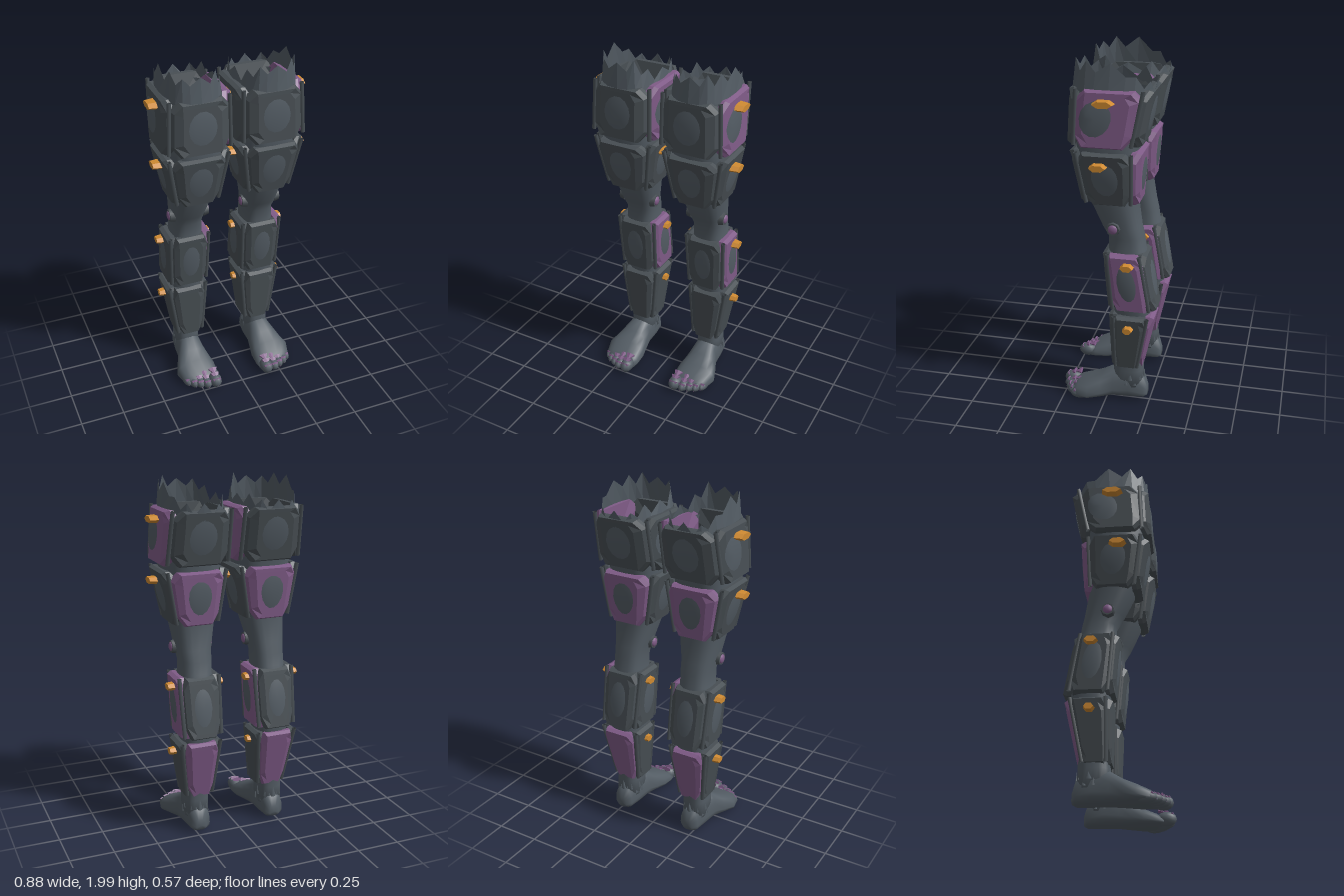
import * as THREE from 'three';

const mat = (name, color) => new THREE.MeshStandardMaterial({ name, color, side: THREE.DoubleSide });
const V = (x, y, z) => new THREE.Vector3(x, y, z);
const { lerp, clamp } = THREE.MathUtils;

// skin a list of equal-length rings; each ring runs counterclockwise seen from the last one
function loft(rings, { capStart = true, capEnd = true, flat = false } = {}) {
  const n = rings[0].length, pts = rings.flat(), idx = [];
  for (let i = 0; i < rings.length - 1; i++) {
    for (let j = 0; j < n; j++) {
      const a = i * n + j, b = i * n + (j + 1) % n;
      idx.push(a, b, b + n, a, b + n, a + n);
    }
  }
  const cap = (i, end) => {
    const c = pts.length;
    pts.push(rings[i].reduce((s, p) => s.add(p), V(0, 0, 0)).divideScalar(n));
    for (let j = 0; j < n; j++) {
      const a = i * n + j, b = i * n + (j + 1) % n;
      idx.push(c, end ? a : b, end ? b : a);
    }
  };
  if (capStart) cap(0, false);
  if (capEnd) cap(rings.length - 1, true);
  let g = new THREE.BufferGeometry().setFromPoints(pts);
  g.setIndex(idx);
  if (flat) g = g.toNonIndexed();
  g.computeVertexNormals();
  return g;
}

// rounded-square direction for angle a
function squircle(a, e) {
  const c = Math.cos(a), s = Math.sin(a);
  return [Math.sign(c) * Math.abs(c) ** e, Math.sign(s) * Math.abs(s) ** e];
}

// armour rows: bounds at bottom and top are [y, inner x, outer x, back z, front z];
// flank is the width share of the side plates, grip is [y, z, length, reach]
const ROWS = [
  { name: 'upperThigh', bot: [1.55, 0.01, 0.408, -0.205, 0.195], top: [1.85, 0.015, 0.392, -0.265, 0.18],
    purple: 'left', flank: 0.76, shift: -0.24, grip: [1.79, -0.02, 0.11, 0.06] },
  { name: 'lowerThigh', bot: [1.22, 0.075, 0.345, -0.185, 0.13], top: [1.52, 0.02, 0.405, -0.205, 0.185],
    purple: 'back', flank: 0.76, shift: 0, grip: [1.455, 0.01, 0.09, 0.06] },
  { name: 'upperShin', bot: [0.6, 0.1, 0.345, -0.29, -0.015], top: [0.94, 0.09, 0.355, -0.23, 0.015],
    purple: 'left', flank: 0.8, shift: 0, grip: [0.885, -0.135, 0.07, 0.042] },
  { name: 'lowerShin', bot: [0.22, 0.135, 0.305, -0.205, -0.03], top: [0.57, 0.1, 0.36, -0.28, -0.02],
    purple: 'back', flank: 0.8, shift: 0, grip: [0.505, -0.14, 0.055, 0.04] },
];
const SIDES = ['front', 'back', 'left', 'right'];
const isFlank = side => side === 'left' || side === 'right';

// point on one side of a row: u across (-1..1), v up (0..1), d outward; edges bend in around the leg
function onSide(row, sx, side, u, v, d) {
  const [y, xi, xo, zb, zf] = row.bot.map((b, i) => lerp(b, row.top[i], v));
  const x0 = sx > 0 ? xi : -xo, x1 = sx > 0 ? xo : -xi;
  const cx = (x0 + x1) / 2, cz = (zb + zf) / 2, hx = (x1 - x0) / 2, hz = (zf - zb) / 2;
  const out = d - 0.6 * Math.min(hx, hz) * Math.max(0, Math.abs(u) - 0.56);
  if (side === 'front') return V(cx + u * hx, y, zf + out);
  if (side === 'back') return V(cx - u * hx, y, zb - out);
  if (side === 'left') return V(x1 + out, y, cz - u * hz);
  return V(x0 - out, y, cz + u * hz);
}

// bevelled plate with clipped corners
const OUTLINE = [[1, 0.2], [1, 0.84], [0.74, 1], [-0.74, 1], [-1, 0.84], [-1, 0.2], [-0.7, 0], [0.7, 0]];
function plateGeometry(row, sx, side) {
  const w = isFlank(side) ? row.flank : 0.8;
  const layers = [[w + 0.04, 1, -0.045], [w + 0.03, 1, -0.02], [w - 0.04, 0.93, 0], [0.54, 0.8, 0]];
  return loft(layers.map(([su, sv, d]) => OUTLINE.map(([u, v]) =>
    onSide(row, sx, side, u * su, 0.5 + (v - 0.5) * sv, d))), { flat: true });
}

// thin oval where the muscle shows in the middle of a plate
function patchGeometry(row, sx, side) {
  const shift = isFlank(side) ? row.shift : 0;
  const ring = (s, d) => Array.from({ length: 14 }, (_, i) => {
    const a = i / 14 * Math.PI * 2;
    return onSide(row, sx, side, shift + s * 0.4 * Math.cos(a), 0.52 + s * 0.31 * Math.sin(a), d);
  });
  return loft([ring(1, 0.002), ring(0.6, 0.007)], { capStart: false });
}

// leg sections: y, inner x, outer x, back z, front z
const LEG = [
  [0.1, 0.16, 0.3, -0.215, -0.03], [0.2, 0.16, 0.302, -0.208, -0.038], [0.4, 0.15, 0.3, -0.22, -0.05],
  [0.58, 0.13, 0.32, -0.25, -0.04], [0.78, 0.12, 0.33, -0.262, -0.015], [0.95, 0.13, 0.31, -0.212, -0.01],
  [1.02, 0.128, 0.308, -0.202, -0.01], [1.08, 0.122, 0.315, -0.188, 0.025], [1.22, 0.09, 0.332, -0.165, 0.09],
  [1.4, 0.06, 0.36, -0.175, 0.145], [1.55, 0.05, 0.37, -0.18, 0.165], [1.82, 0.05, 0.37, -0.225, 0.165],
];
function legRing([y, xi, xo, zb, zf], sx, n, lift = () => 0) {
  return Array.from({ length: n }, (_, j) => {
    const [c, s] = squircle(j / n * Math.PI * 2, 0.75);
    const x = sx * (xi + xo) / 2 + c * (xo - xi) / 2, z = (zb + zf) / 2 - s * (zf - zb) / 2;
    return V(x, y + lift(j, x, z), z);
  });
}

// foot sections: z, centre x, half width, bottom, top
const FOOT = [
  [-0.235, 0.23, 0.03, 0.03, 0.09], [-0.215, 0.23, 0.058, 0.02, 0.15], [-0.13, 0.23, 0.074, 0.018, 0.215],
  [-0.04, 0.233, 0.078, 0.018, 0.195], [0.03, 0.24, 0.1, 0.015, 0.15], [0.1, 0.245, 0.12, 0.012, 0.115],
  [0.17, 0.235, 0.11, 0.012, 0.083], [0.21, 0.222, 0.088, 0.015, 0.055],
];
// toes: x, tip z, radius
const TOES = [[0.168, 0.28, 0.038], [0.22, 0.268, 0.03], [0.258, 0.25, 0.028], [0.292, 0.232, 0.027], [0.322, 0.205, 0.026]];
// scales along a toe: distance behind the tip, height in toe radii, tilt
const TOE_SCALES = [[0.016, 1.25, 0.9], [0.045, 1.85, 0.45], [0.08, 2.1, 0.25]];

export function createModel() {
  const skin = mat('slate skin', 0x535c64), armour = mat('dark armour', 0x484f54);
  const purple = mat('purple', 0x7f5b87), orange = mat('orange', 0xcf8a32);
  const model = new THREE.Group();

  for (const sx of [1, -1]) {
    const leg = new THREE.Group();
    leg.name = sx > 0 ? 'leftLeg' : 'rightLeg';
    model.add(leg);
    const add = (name, geometry, material, x = 0, y = 0, z = 0) => {
      const m = new THREE.Mesh(geometry, material);
      m.name = name;
      m.position.set(x, y, z);
      leg.add(m);
      return m;
    };

    add('leg', loft(LEG.map(s => legRing(s, sx, 24)), { capEnd: false }), skin);

    // ragged upper rim, lower at the back and on the inner thigh
    const slope = (x, z) => -Math.max(0.11 * clamp((-0.1 - z) / 0.16, 0, 1), 0.08 * clamp((0.11 - Math.abs(x)) / 0.05, 0, 1));
    const spike = (j, x, z) => slope(x, z) + (j % 2 ? 0.015 : 0.065 + 0.015 * Math.sin(j * 2.3));
    add('raggedRim', loft([
      legRing([1.74, 0.045, 0.372, -0.215, 0.172], sx, 24),
      legRing([1.84, 0.045, 0.37, -0.255, 0.18], sx, 24, (j, x, z) => slope(x, z) * 0.4),
      legRing([1.92, 0.062, 0.358, -0.262, 0.168], sx, 24, spike),
    ], { capStart: false, capEnd: false, flat: true }), skin);

    for (const row of ROWS) {
      for (const side of SIDES) {
        const tinted = row.purple === side;
        add(row.name + 'Plate', plateGeometry(row, sx, side), tinted ? purple : armour);
        if (row.name !== 'lowerShin') add(row.name + 'Patch', patchGeometry(row, sx, side), skin);
      }
      // corner struts sunk between the plates
      for (const side of ['front', 'back']) for (const u of [-0.87, 0.87]) {
        const curve = new THREE.LineCurve3(
          onSide(row, sx, side, u, 0.04, -0.012), onSide(row, sx, side, u, 1, -0.012));
        add(row.name + 'Strut', new THREE.TubeGeometry(curve, 1, 0.012, 5), armour);
      }
      // grips on both flanks
      const [y, z, len, reach] = row.grip, v = (y - row.bot[0]) / (row.top[0] - row.bot[0]);
      for (const side of ['left', 'right']) {
        const outer = (side === 'left') === (sx > 0);
        const p = onSide(row, sx, side, 0, v, outer ? 0.016 : 0.002);
        const g = new THREE.CylinderGeometry(0.5, 0.6, 1, 6).rotateZ(Math.PI / 2 * (side === 'left' ? -1 : 1))
          .scale(reach, 0.038, len * 0.95).toNonIndexed();
        g.computeVertexNormals();
        add(row.name + 'Grip', g, orange, p.x, y, z);
      }
    }

    // knee studs
    for (const s of [1, -1]) {
      const x = sx * 0.2185 + s * 0.1;
      add('kneeStud', new THREE.CylinderGeometry(0.036, 0.042, 0.03, 8).rotateZ(-s * Math.PI / 2), armour, x, 1.085, -0.05);
      add('kneeStudCentre', new THREE.SphereGeometry(0.027, 10, 8).scale(0.5, 1, 1), purple, x + s * 0.012, 1.085, -0.05);
    }

    // foot and toes
    add('foot', loft(FOOT.map(([z, cx, hw, y0, y1]) => Array.from({ length: 18 }, (_, j) => {
      const [c, s] = squircle(j / 18 * Math.PI * 2, 0.8), base = y0 + (y1 - y0) * 0.3;
      return V(sx * cx + c * hw, s > 0 ? base + s * (y1 - base) : base + s * (base - y0), z);
    }))), skin);
    for (const [x, tip, r] of TOES) {
      add('toe', new THREE.SphereGeometry(1, 10, 8).scale(r, r * 1.05, 0.055), skin, sx * x, r + 0.008, tip - 0.055);
      // overlapping pointed scales
      for (const [back, up, tilt] of TOE_SCALES) {
        const scale = new THREE.ConeGeometry(r * 0.8, 0.045, 6).rotateX(Math.PI / 2).scale(1, 0.4, 1).toNonIndexed();
        scale.computeVertexNormals();
        add('toeScale', scale, purple, sx * x, 0.008 + r * up, tip - back).rotation.x = tilt;
      }
    }

    // small tufts around the ankle and heel
    for (let i = 0; i < 11; i++) {
      const a = Math.PI * (0.95 + 1.1 * i / 10);
      const tuft = new THREE.ConeGeometry(0.018, 0.06, 4).scale(1, 1, 0.4).rotateY(Math.PI / 2 - a);
      add('heelTuft', tuft, skin, sx * 0.23 + Math.cos(a) * 0.069, 0.14 + 0.035 * (i % 2), -0.13 + Math.sin(a) * 0.084);
    }
  }
  return model;
}
